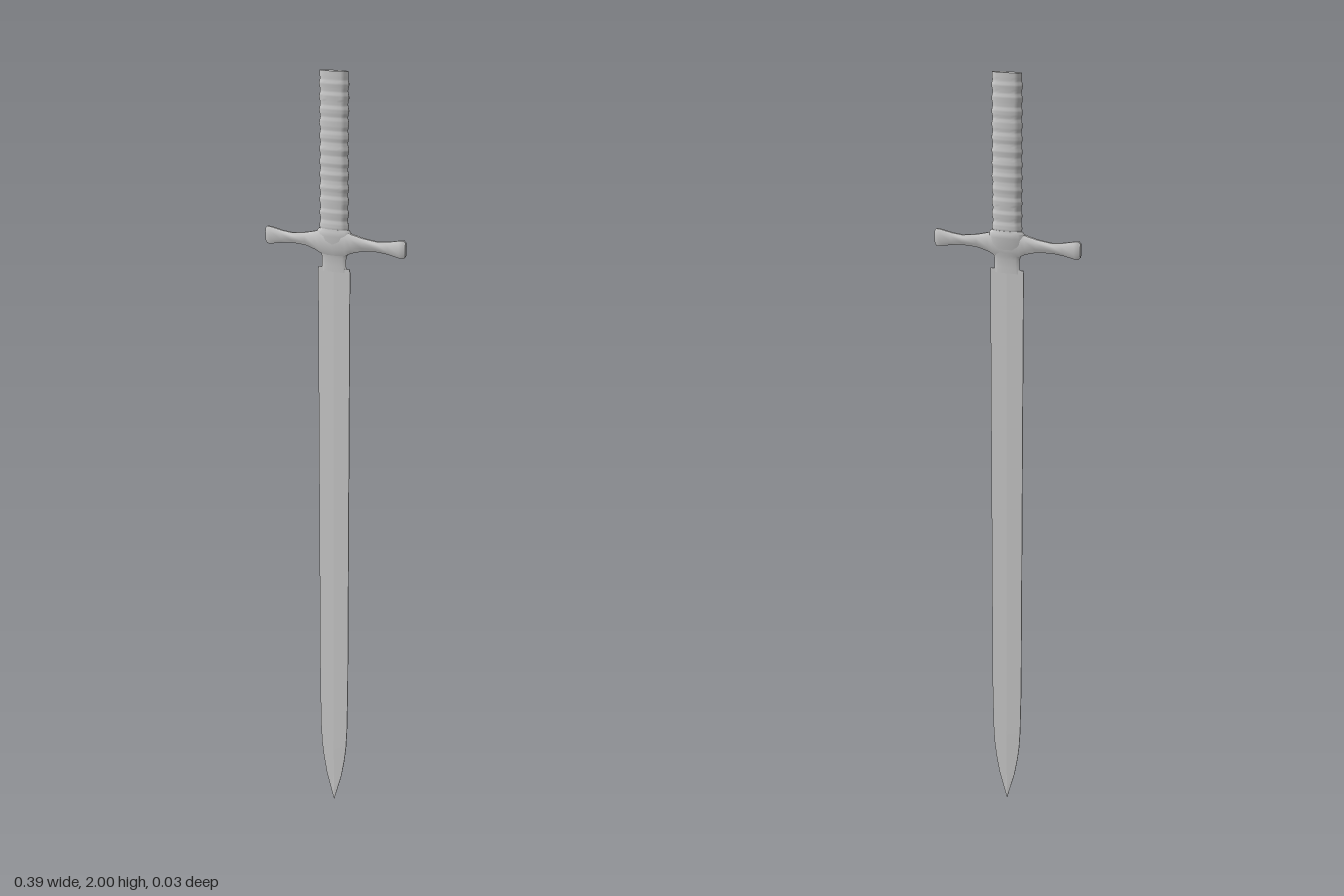
import * as THREE from 'three';
import { toCreasedNormals } from 'three/addons/utils/BufferGeometryUtils.js';

// Skin a list of equal-length rings (counter-clockwise seen from the far end) and cap both ends
function loft(name, rings, crease = 0.6) {
  const n = rings[0].length, pos = rings.flat(2), index = [];
  for (let r = 0; r < rings.length - 1; r++) {
    for (let i = 0; i < n; i++) {
      const a = r * n + i, b = r * n + (i + 1) % n;
      index.push(a, b, b + n, a, b + n, a + n);
    }
  }
  const last = (rings.length - 1) * n;
  for (let i = 1; i < n - 1; i++) {
    index.push(0, i + 1, i, last, last + i, last + i + 1);
  }
  const geo = new THREE.BufferGeometry();
  geo.setAttribute('position', new THREE.Float32BufferAttribute(pos, 3));
  geo.setIndex(index);
  const mesh = new THREE.Mesh(toCreasedNormals(geo, crease),
    new THREE.MeshStandardMaterial({ color: 0xcccccc }));
  mesh.name = name;
  return mesh;
}

// Flattened horizontal oval, slightly deeper at the back
function oval(y, w, front, back, sides = 16) {
  return Array.from({ length: sides }, (_, i) => {
    const a = -i / sides * Math.PI * 2, s = Math.sin(a);
    return [w * Math.cos(a), y, s * (s > 0 ? front : back)];
  });
}

export function createModel() {
  const sword = new THREE.Group();
  sword.name = 'sword';

  // Blade: shallow central ridge, thin flat edges, curved point
  const blade = [
    [0, 0.0005, 0.0005], [0.03, 0.009, 0.0015], [0.08, 0.023, 0.002], [0.13, 0.032, 0.0025],
    [0.17, 0.037, 0.003], [0.22, 0.04, 0.003], [0.35, 0.0425, 0.003], [1.51, 0.045, 0.003], [1.52, 0.044, 0.003],
  ].map(([y, w, d]) => {
    const e = d * 0.4;
    return [[w, y, e], [w, y, -e], [0, y, -d], [-w, y, -e], [-w, y, e], [0, y, d]];
  });
  sword.add(loft('blade', blade, 0.02));

  // Collar: wedge flowing from the blade up into the guard
  sword.add(loft('collar', [
    [1.51, 0.036, 0.0035, 0.0035], [1.525, 0.034, 0.004, 0.004], [1.545, 0.034, 0.005, 0.005],
    [1.555, 0.037, 0.007, 0.007], [1.565, 0.045, 0.009, 0.009], [1.58, 0.049, 0.011, 0.012],
    [1.6, 0.05, 0.013, 0.015], [1.611, 0.048, 0.0135, 0.016], [1.618, 0.042, 0.012, 0.014],
  ].map(p => oval(...p))));

  // Guard: waisted arms flaring toward the tips; x, bottom, top, front z, back z
  const half = [
    [0, 1.55, 1.616, 0.011, -0.01], [0.035, 1.555, 1.614, 0.011, -0.009],
    [0.05, 1.562, 1.609, 0.01, -0.009], [0.08, 1.57, 1.602, 0.007, -0.009],
    [0.12, 1.572, 1.597, 0.005, -0.009], [0.15, 1.569, 1.6, 0.005, -0.009],
    [0.18, 1.563, 1.606, 0.005, -0.009], [0.191, 1.563, 1.607, 0.005, -0.009],
    [0.196, 1.568, 1.602, 0.003, -0.007],
  ];
  const guardSections = [
    ...half.slice(1).reverse().map(([x, ...rest]) => [-x, ...rest]), ...half,
  ];
  sword.add(loft('guard', guardSections.map(([x, b, t, f, k]) => {
    const dz = (f - k) * 0.25, dy = (t - b) * 0.25;
    return [
      [x, b, f - dz], [x, b, k + dz], [x, b + dy, k], [x, t - dy, k],
      [x, t, k + dz], [x, t, f - dz], [x, t - dy, f], [x, b + dy, f],
    ];
  }), 0.7));

  // Grip: oval handle with evenly spaced wrapped ridges
  const grip = [], steps = 84, turns = 12;
  for (let i = 0; i <= steps; i++) {
    const t = i / steps, y = 1.61 + t * 0.39;
    const ridge = t < 0.96 ? 0.5 - 0.5 * Math.cos(t / 0.96 * turns * Math.PI * 2) : 0.4;
    grip.push(oval(y, 0.038 + 0.003 * ridge, 0.011 + 0.002 * ridge, 0.012 + 0.002 * ridge, 20));
  }
  sword.add(loft('grip', grip, 0.9));

  return sword;
}
